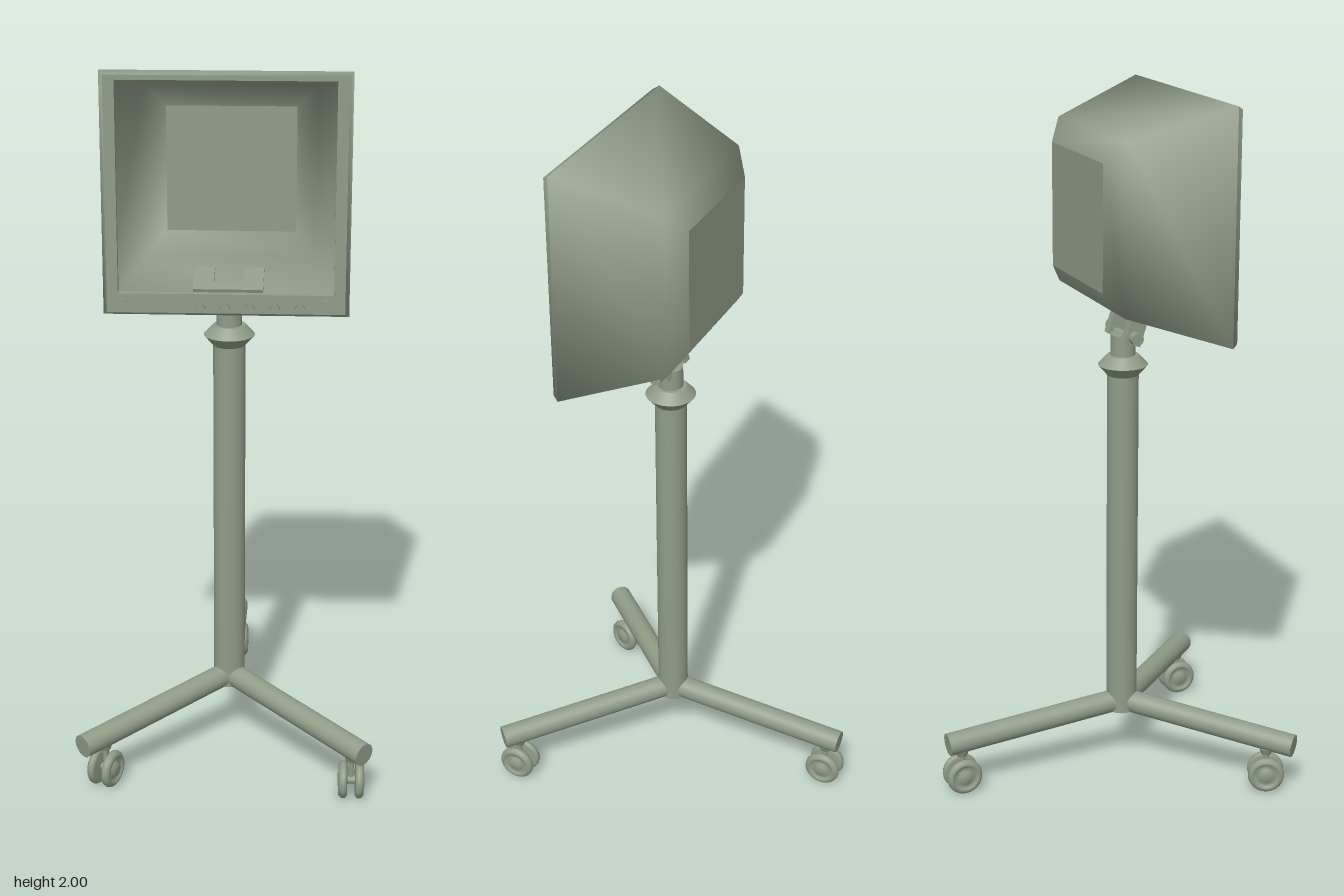
import * as THREE from 'three';

const paint = new THREE.MeshStandardMaterial({ color: 0x909c88 });
paint.name = 'sage grey';
const shellPaint = new THREE.MeshStandardMaterial({ color: 0x909c88, side: THREE.DoubleSide });
shellPaint.name = 'sage grey shell';

const POLE_Z = 0.075;
const MID_Y = 1.675;

function add(parent, name, geometry, x = 0, y = 0, z = 0, material = paint) {
  const mesh = new THREE.Mesh(geometry, material);
  mesh.name = name;
  mesh.position.set(x, y, z);
  parent.add(mesh);
  return mesh;
}

function lathe(points, segments = 28) {
  return new THREE.LatheGeometry(points.map(([r, y]) => new THREE.Vector2(r, y)), segments);
}

// Round bar running from a to b
function bar(parent, name, a, b, radius) {
  const dir = b.clone().sub(a);
  const mesh = add(parent, name, new THREE.CylinderGeometry(radius, radius, dir.length(), 24));
  mesh.position.copy(a).add(b).multiplyScalar(0.5);
  mesh.quaternion.setFromUnitVectors(new THREE.Vector3(0, 1, 0), dir.normalize());
}

// Skin through square rings given as [halfWidth, halfHeight, z], front to back
function squareLoft(rings) {
  const corners = [[-1, -1], [1, -1], [1, 1], [-1, 1]];
  const positions = [];
  const index = [];
  rings.forEach(([w, h, z], r) => {
    corners.forEach(([sx, sy], i) => {
      positions.push(sx * w, sy * h, z);
      if (r === 0) return;
      const j = (i + 1) % 4;
      const a = (r - 1) * 4 + i, b = (r - 1) * 4 + j, c = r * 4 + i, d = r * 4 + j;
      index.push(a, c, b, b, c, d);
    });
  });
  const geometry = new THREE.BufferGeometry();
  geometry.setAttribute('position', new THREE.Float32BufferAttribute(positions, 3));
  geometry.setIndex(index);
  geometry.computeVertexNormals();
  return geometry;
}

function rectangle(path, x0, y0, x1, y1) {
  path.moveTo(x0, y0).lineTo(x1, y0).lineTo(x1, y1).lineTo(x0, y1).closePath();
  return path;
}

function createMonitor() {
  const monitor = new THREE.Group();
  monitor.name = 'monitor';
  monitor.position.y = MID_Y;

  // Hollow tapering housing with a bevelled back
  add(monitor, 'housingRim', squareLoft([[0.316, 0.315, 0.272], [0.327, 0.325, 0.255]]), 0, 0, 0, shellPaint);
  add(monitor, 'housing', squareLoft([[0.327, 0.325, 0.255], [0.235, 0.235, -0.022], [0.18, 0.175, -0.064]]),
    0, 0, 0, shellPaint);
  add(monitor, 'backPanel', new THREE.PlaneGeometry(0.36, 0.35), 0, 0, -0.064, shellPaint);

  // Open frame, thicker along the control strip
  const frame = rectangle(new THREE.Shape(), -0.316, -0.315, 0.316, 0.315);
  frame.holes.push(rectangle(new THREE.Path(), -0.286, -0.263, 0.286, 0.302));
  add(monitor, 'frontFrame', new THREE.ExtrudeGeometry(frame, { depth: 0.02, bevelEnabled: false }), 0, 0, 0.252);

  // Controls
  for (let i = 0; i < 5; i++) {
    const key = new THREE.CylinderGeometry(0.016, 0.016, 0.016, 3).rotateX(Math.PI / 2).rotateZ(Math.PI);
    add(monitor, 'triangleButton', key, -0.068 + i * 0.066, -0.292, 0.273);
  }
  const knob = (r) => new THREE.CylinderGeometry(r, r, 0.016, 18).rotateX(Math.PI / 2);
  add(monitor, 'powerButton', knob(0.014), 0.264, -0.288, 0.273);
  add(monitor, 'indicator', knob(0.009), -0.272, -0.288, 0.272);
  return monitor;
}

function createBracket() {
  const bracket = new THREE.Group();
  bracket.name = 'tiltBracket';
  bracket.position.set(0, 1.4, 0.1);
  bracket.rotation.x = 0.316;

  // U-shaped plate under the housing, open towards the back
  const u = new THREE.Shape();
  [[-0.095, -0.055], [0.095, -0.055], [0.095, 0.055], [0.04, 0.055], [0.04, -0.02],
    [-0.04, -0.02], [-0.04, 0.055], [-0.095, 0.055]]
    .forEach(([x, y], i) => (i ? u.lineTo(x, y) : u.moveTo(x, y)));
  const plate = new THREE.ExtrudeGeometry(u, { depth: 0.026, bevelEnabled: false }).rotateX(-Math.PI / 2);
  add(bracket, 'mountPlate', plate, 0, -0.016, 0);

  // Ears and pivot pin
  for (const s of [-1, 1]) {
    add(bracket, 'bracketEar', new THREE.BoxGeometry(0.028, 0.08, 0.05), s * 0.057, -0.05, 0);
    add(bracket, 'pivotBolt', new THREE.CylinderGeometry(0.018, 0.018, 0.024, 16).rotateZ(Math.PI / 2),
      s * 0.082, -0.068, 0);
  }
  add(bracket, 'pivotPin', new THREE.CylinderGeometry(0.014, 0.014, 0.12, 16).rotateZ(Math.PI / 2), 0, -0.08, 0);
  return bracket;
}

// Twin-wheel caster, rolling along its own z
function createCaster(x, z, turn) {
  const caster = new THREE.Group();
  caster.name = 'caster';
  caster.position.set(x, 0.053, z);
  caster.rotation.y = turn;
  const profile = [[0, 0.011], [0.044, 0.011], [0.051, 0.015], [0.053, 0.021], [0.051, 0.029], [0.044, 0.035],
    [0.036, 0.035], [0.034, 0.029], [0.02, 0.029], [0.018, 0.037], [0, 0.037]];
  for (const s of [-1, 1]) {
    const wheel = add(caster, 'wheel', lathe(profile));
    wheel.rotation.z = -s * Math.PI / 2;
  }
  add(caster, 'axle', new THREE.CylinderGeometry(0.012, 0.012, 0.03, 12).rotateZ(Math.PI / 2));
  add(caster, 'stem', new THREE.CylinderGeometry(0.007, 0.007, 0.1, 12), 0, 0.045, 0);
  add(caster, 'stemCollar', new THREE.CylinderGeometry(0.022, 0.014, 0.02, 16), 0, 0.068, 0);
  return caster;
}

export function createModel() {
  const model = new THREE.Group();
  model.name = 'monitorOnRollingStand';
  model.add(createMonitor(), createBracket());

  // Pole, collar and neck
  add(model, 'pole', new THREE.CylinderGeometry(0.045, 0.045, 1.05, 32), 0, 0.695, POLE_Z);
  const collar = new THREE.CylinderGeometry(0.045, 0.071, 0.028, 32);
  add(model, 'collarTop', collar, 0, 1.256, POLE_Z);
  add(model, 'collarBottom', new THREE.CylinderGeometry(0.071, 0.045, 0.03, 32), 0, 1.227, POLE_Z);
  add(model, 'neck', new THREE.CylinderGeometry(0.035, 0.035, 0.07, 28), 0, 1.295, POLE_Z);

  // Three sloping legs
  const hub = new THREE.Vector3(0, 0.198, POLE_Z);
  const feet = [[-0.391, 0.15, 0.449], [0.391, 0.15, 0.459], [0, 0.154, -0.474]];
  feet.forEach((foot) => bar(model, 'leg', hub, new THREE.Vector3(...foot), 0.033));

  // Casters, each swivelled its own way
  model.add(createCaster(-0.335, 0.39, -0.42), createCaster(0.357, 0.425, 0), createCaster(0, -0.432, 0));
  return model;
}
